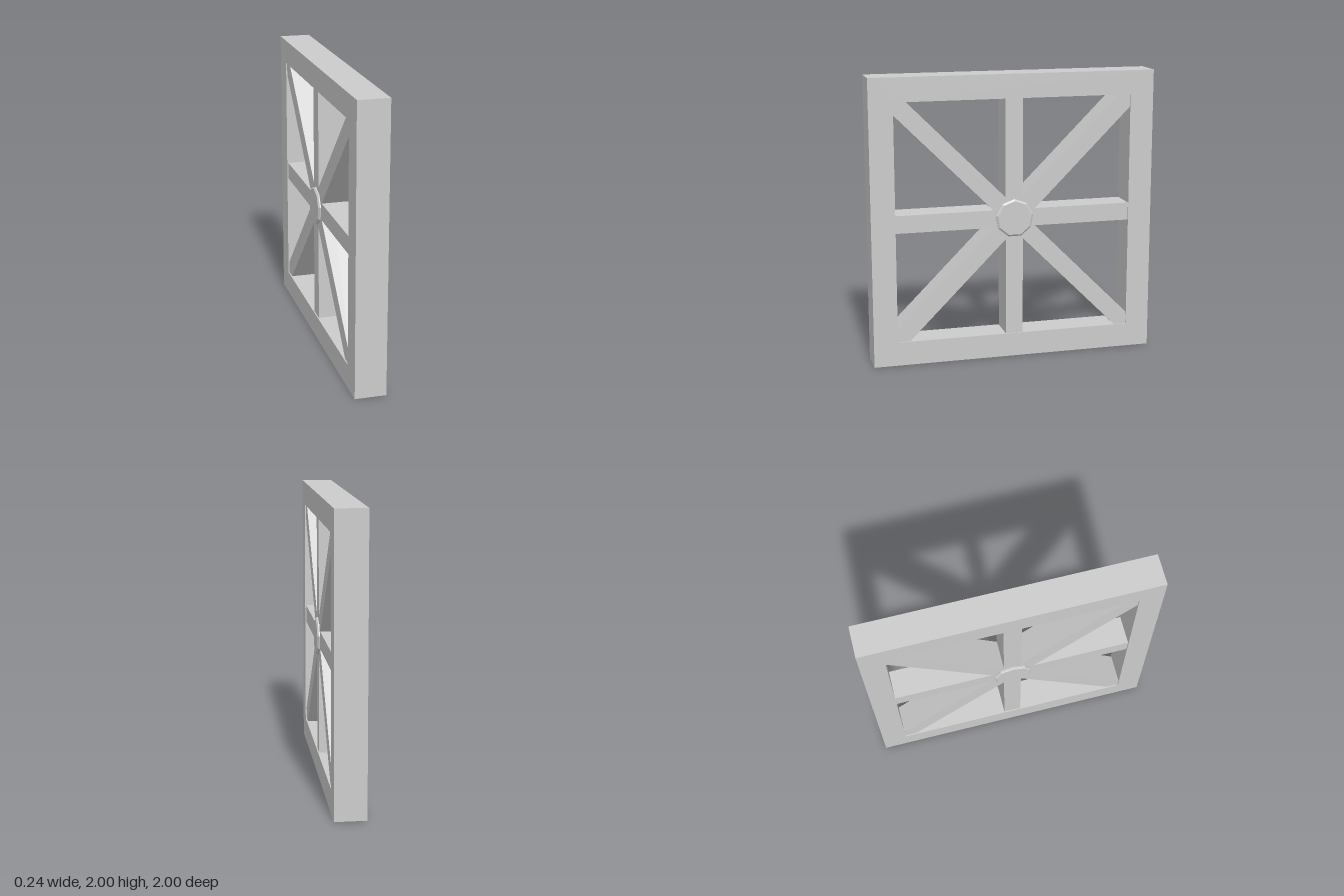
import * as THREE from 'three';

export function createModel() {
  const group = new THREE.Group();
  const material = new THREE.MeshStandardMaterial({ color: 0xcccccc, flatShading: true });
  const add = (name, geometry) => {
    const mesh = new THREE.Mesh(geometry, material);
    mesh.name = name;
    group.add(mesh);
    return mesh;
  };

  const inner = 0.833;      // half size of the frame opening
  const halfDepth = 0.108;  // half thickness of the frame

  // Square frame with a square opening, turned to face the sides
  const square = (Type, h) => new Type([[-h, -h], [h, -h], [h, h], [-h, h]].map(([x, y]) => new THREE.Vector2(x, y)));
  const outline = square(THREE.Shape, 1);
  outline.holes.push(square(THREE.Path, inner));
  const frameGeometry = new THREE.ExtrudeGeometry(outline, { depth: 2 * halfDepth, bevelEnabled: false });
  frameGeometry.translate(0, 1, -halfDepth).rotateY(Math.PI / 2);
  add('frame', frameGeometry);

  // Four bars through the centre make eight spokes, slightly recessed in the frame;
  // the diagonal ones end inside the frame corners
  for (let i = 0; i < 4; i++) {
    const length = i % 2 ? 2.4 : 2 * inner + 0.04;
    const bar = add(i % 2 ? 'diagonalSpokes' : 'straightSpokes', new THREE.BoxGeometry(0.2, length, 0.123));
    bar.position.y = 1;
    bar.rotation.x = i * Math.PI / 4;
  }

  // Nine-sided hub with bevelled rims, showing on both faces
  const profile = [[0, -0.118], [0.122, -0.118], [0.135, -0.108], [0.135, 0.108], [0.122, 0.118], [0, 0.118]]
    .map(([r, y]) => new THREE.Vector2(r, y));
  const hub = add('hub', new THREE.LatheGeometry(profile, 9, Math.PI / 2));
  hub.position.y = 1;
  hub.rotation.z = Math.PI / 2;

  return group;
}
